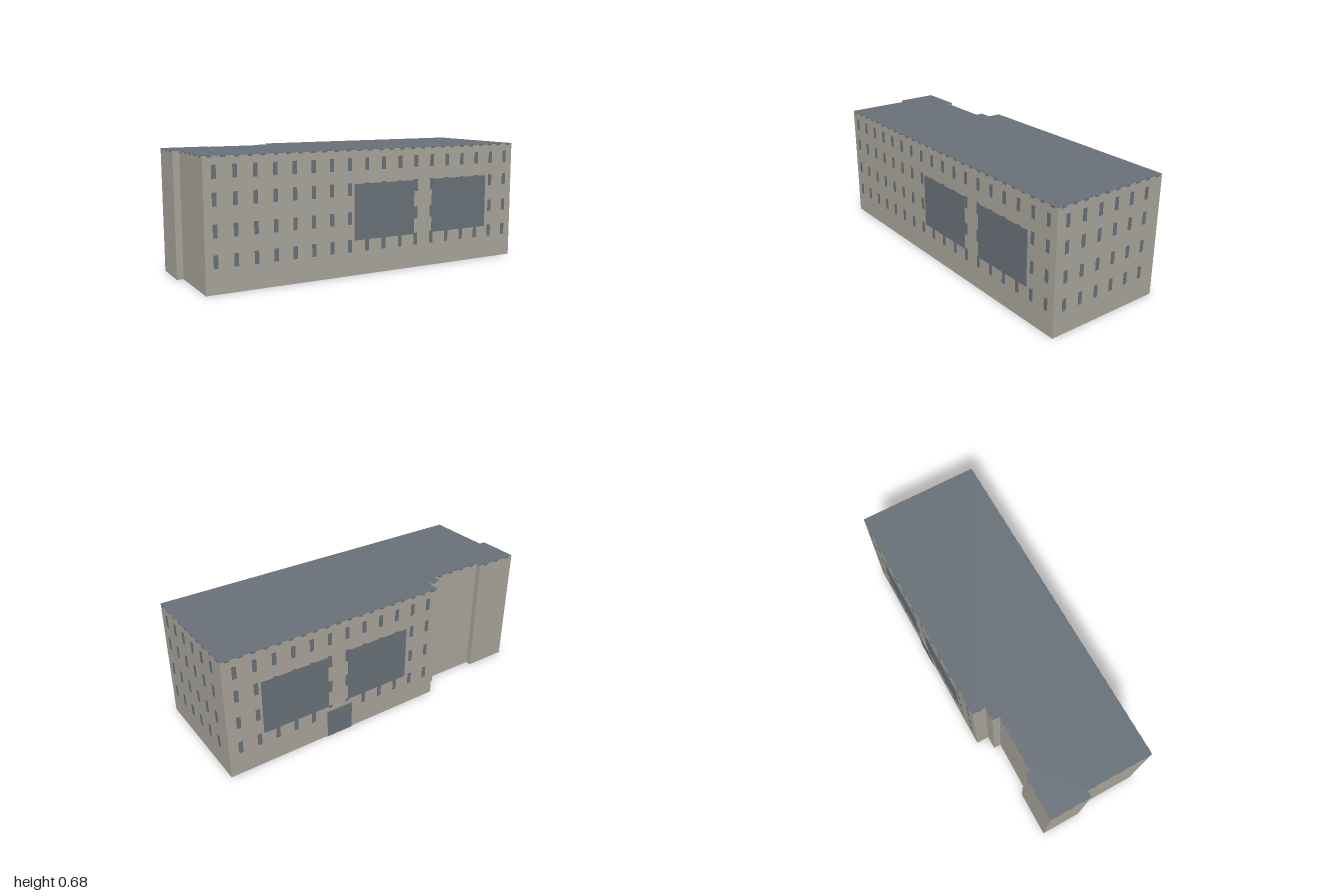
import * as THREE from 'three';
import { mergeGeometries } from 'three/addons/utils/BufferGeometryUtils.js';

const HEIGHT = 0.678;

// Footprint corners [x, z], clockwise seen from above, starting at the back left
const FOOTPRINT = [
  [-0.22, -1.0], [0.46, -0.885], [0.14, 1.0], [-0.23, 0.935], [-0.236, 0.97],
  [-0.463, 0.93], [-0.42, 0.68], [-0.39, 0.686], [-0.334, 0.372], [-0.375, 0.365],
  [-0.362, 0.29], [-0.435, 0.277],
];
const WINDOW_ROWS = [0.163, 0.313, 0.467, 0.6];

export function createModel() {
  const model = new THREE.Group();
  const wallMaterial = new THREE.MeshStandardMaterial({ color: 0xa8a49a, name: 'wallStone' });
  const slateMaterial = new THREE.MeshStandardMaterial({ color: 0x687078, name: 'slate' });

  const add = (name, geometry, material) => {
    const mesh = new THREE.Mesh(geometry, material);
    mesh.name = name;
    model.add(mesh);
  };

  const outline = new THREE.Shape(FOOTPRINT.map(([x, z]) => new THREE.Vector2(x, -z)));
  const slab = (y, depth) => new THREE.ExtrudeGeometry(outline, { depth, bevelEnabled: false })
    .rotateX(-Math.PI / 2).translate(0, y, 0);

  // Plate on wall i: centre d along the wall, centre y, width, height, projection
  const wallLength = (i) => {
    const p = FOOTPRINT[i], q = FOOTPRINT[(i + 1) % FOOTPRINT.length];
    return Math.hypot(q[0] - p[0], q[1] - p[1]);
  };
  const plate = (i, d, y, w, h, out = 0.002) => {
    const p = FOOTPRINT[i], q = FOOTPRINT[(i + 1) % FOOTPRINT.length];
    const len = wallLength(i);
    const dx = (q[0] - p[0]) / len, dz = (q[1] - p[1]) / len;
    return new THREE.BoxGeometry(w, h, out * 2)
      .rotateY(Math.atan2(dz, -dx))
      .translate(p[0] + dx * d, y, p[1] + dz * d);
  };

  // Building mass and flat roof
  add('walls', slab(0, HEIGHT - 0.002), wallMaterial);
  add('roof', slab(HEIGHT - 0.002, 0.002), slateMaterial);

  // Window grids: wall index, first column, spacing, column count
  const grids = [
    ['backWindows', 0, 0.105, 0.104, 6],
    ['rightWindows', 1, 0.056, 0.106, 18],
    ['leftWindows', 11, 0.065, 0.106, 12],
  ];
  for (const [name, wall, first, step, count] of grids) {
    // The left wall is measured from its back corner
    const along = (d) => (wall === 11 ? wallLength(wall) - d : d);
    const panes = [];
    for (const y of WINDOW_ROWS) {
      for (let c = 0; c < count; c++) panes.push(plate(wall, along(first + c * step), y, 0.023, 0.067));
    }
    add(name, mergeGeometries(panes), slateMaterial);
  }

  // Two large glazed panels on each long side
  for (const [name, wall] of [['rightGlazing', 1], ['leftGlazing', 11]]) {
    for (const [start, end] of [[0.198, 0.583], [0.705, 1.088]]) {
      const mid = (start + end) / 2;
      const d = wall === 11 ? wallLength(wall) - mid : mid;
      add(name, plate(wall, d, 0.343, end - start, 0.303, 0.003), slateMaterial);
    }
  }

  // Entrance on the left side, with a slim surround
  const entrance = wallLength(11) - 0.65;
  add('entranceSurround', plate(11, entrance, 0.09, 0.18, 0.18, 0.003), wallMaterial);
  add('entranceDoor', plate(11, entrance, 0.08, 0.155, 0.16, 0.005), slateMaterial);

  // Dashed band just under the roof edge
  const dashes = [];
  FOOTPRINT.forEach((_, i) => {
    const len = wallLength(i);
    const count = Math.floor(len / 0.067);
    for (let k = 0; k < count; k++) {
      dashes.push(plate(i, (k + 0.5) * len / count, HEIGHT - 0.006, 0.025, 0.008));
    }
  });
  add('eavesBand', mergeGeometries(dashes), slateMaterial);

  return model;
}
